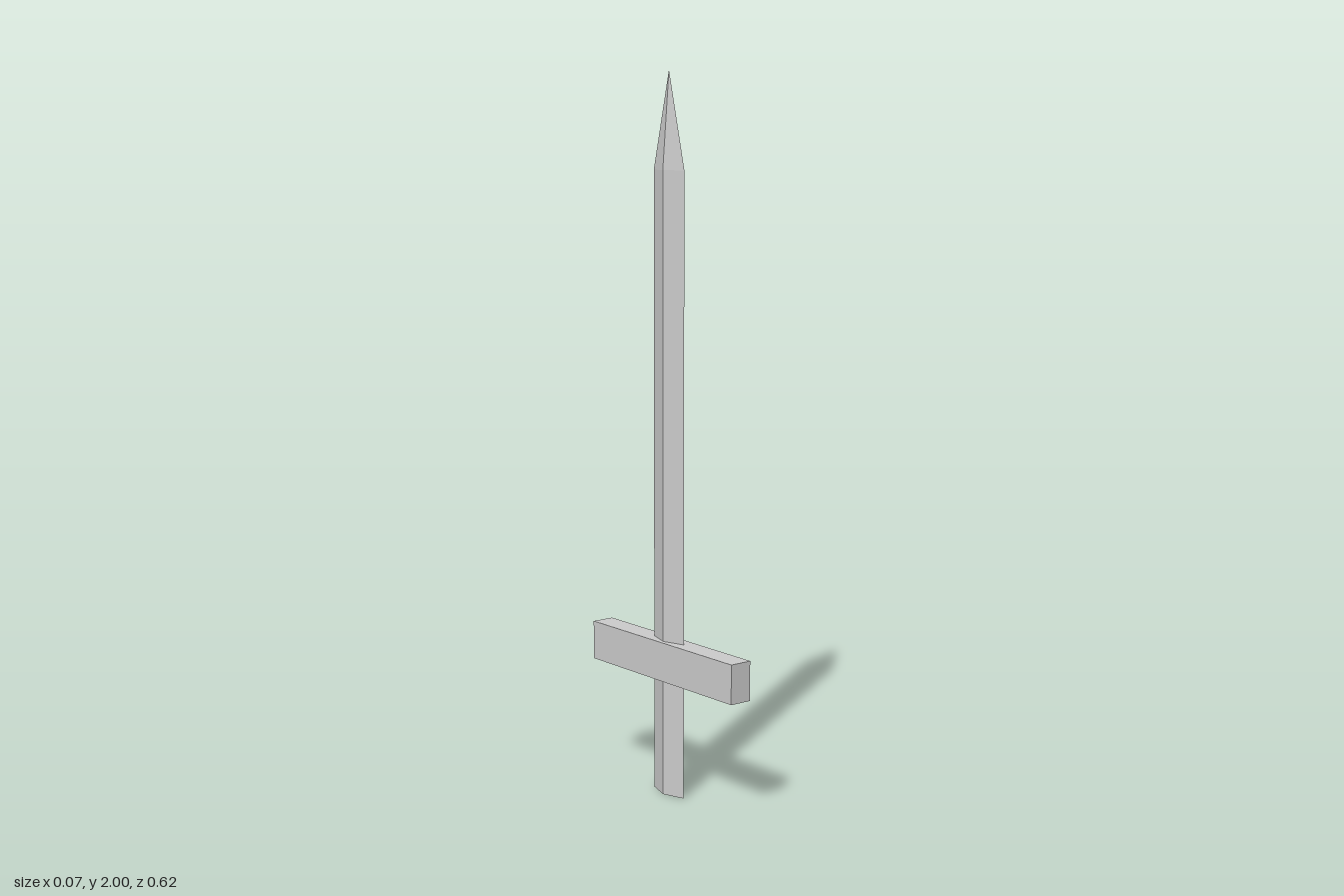
import * as THREE from 'three';

const HALF_WIDTH = 0.066, HALF_THICKNESS = 0.021;
const SHOULDER = 1.735, TOP = 2;

export function createModel() {
  const sword = new THREE.Group();
  sword.name = 'sword';
  const material = new THREE.MeshStandardMaterial({ color: 0xcccccc, flatShading: true });

  const add = (name, geometry, y) => {
    const mesh = new THREE.Mesh(geometry, material);
    mesh.name = name;
    mesh.position.y = y;
    sword.add(mesh);
  };

  // Four-sided prism or pyramid with a flattened diamond section
  const diamond = (topRadius, height, openEnded) =>
    new THREE.CylinderGeometry(topRadius, 1, height, 4, 1, openEnded)
      .scale(HALF_THICKNESS, 1, HALF_WIDTH);

  // Grip and blade are one continuous diamond bar
  const bar = diamond(1, SHOULDER, false);
  add('blade', bar, SHOULDER / 2);

  // Pointed tip
  add('bladeTip', diamond(0, TOP - SHOULDER, true), (SHOULDER + TOP) / 2);

  // Crossguard
  add('crossguard', new THREE.BoxGeometry(0.066, 0.11, 0.616), 0.385);

  return sword;
}
